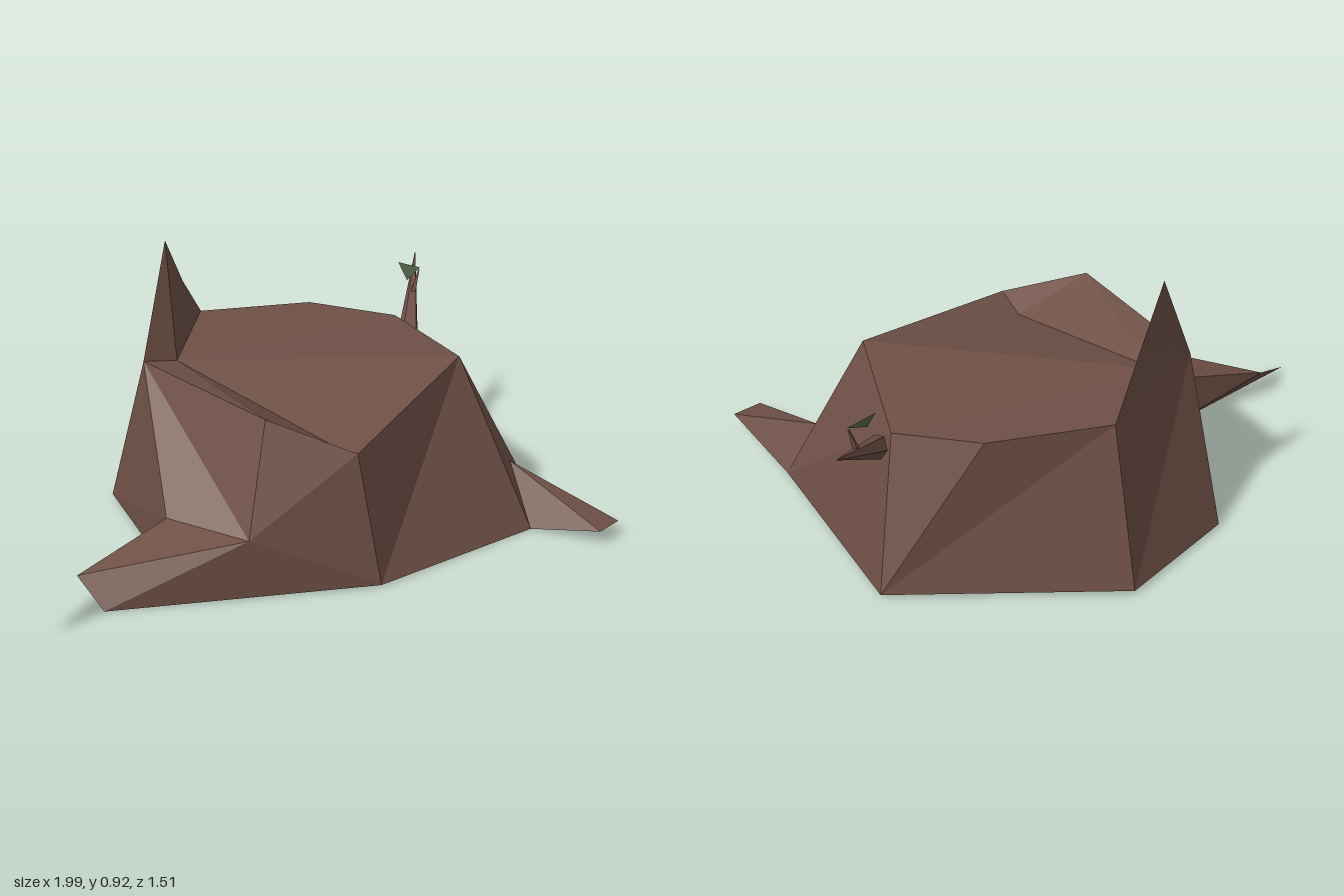
import * as THREE from 'three';

// Named corner points shared by the stump, splinter and roots
const V = {
  // rim
  backLeft: [-0.27, 0.56, -0.42], frontLeft: [-0.27, 0.55, 0.185], front: [-0.065, 0.44, 0.39],
  frontRight: [0.56, 0.545, 0.215], right: [0.715, 0.515, -0.25], backRight: [0.525, 0.545, -0.485],
  back: [0.155, 0.565, -0.635],
  // sunken cut surface
  dip: [-0.05, 0.42, 0.26], cut: [-0.145, 0.535, -0.4],
  // ground outline
  g0: [-0.48, 0, -0.05], g1: [-0.27, 0.01, -0.61], g2: [0.155, 0.015, -0.76], g3: [0.83, 0.01, -0.355],
  g4: [0.775, 0.005, 0.39], g5: [0.615, 0, 0.515], g6: [-0.04, 0.005, 0.48], g7: [-0.8, 0, 0.025],
  // side root
  kneeFront: [-0.405, 0.2, 0.26], kneeBack: [-0.48, 0.19, -0.055],
  sideTop: [-0.83, 0.1, -0.07], sideTip: [-0.995, 0.015, 0.025],
  // front root
  rootTop: [0.67, 0.18, 0.36], tipA: [0.695, 0.05, 0.75], tipB: [0.8, 0.05, 0.735],
  // splinter
  peak: [-0.105, 0.92, -0.5], shoulder: [0, 0.74, -0.54],
};

const bark = new THREE.MeshStandardMaterial({ color: 0x6f5046 });
bark.name = 'bark brown';
bark.flatShading = true;
const green = new THREE.MeshStandardMaterial({ color: 0x587050, side: THREE.DoubleSide });
green.name = 'leaf green';

// Faceted part from polygons of named points, each turned away from an inner point
function facets(name, inner, polygons) {
  const c = new THREE.Vector3(...inner);
  const out = [];
  for (const polygon of polygons) {
    const p = polygon.split(' ').map((k) => new THREE.Vector3(...V[k]));
    for (let i = 1; i < p.length - 1; i++) {
      const tri = new THREE.Triangle(p[0], p[i], p[i + 1]);
      const n = tri.getNormal(new THREE.Vector3());
      const outward = n.dot(p[0].clone().sub(c)) > 0;
      const order = outward ? [p[0], p[i], p[i + 1]] : [p[0], p[i + 1], p[i]];
      order.forEach((v) => out.push(v.x, v.y, v.z));
    }
  }
  const geo = new THREE.BufferGeometry();
  geo.setAttribute('position', new THREE.Float32BufferAttribute(out, 3));
  geo.computeVertexNormals();
  const mesh = new THREE.Mesh(geo, bark);
  mesh.name = name;
  return mesh;
}

// Tapered stick between two points
function stick(name, from, to, r0, r1, sides) {
  const a = new THREE.Vector3(...from), b = new THREE.Vector3(...to);
  const dir = b.clone().sub(a);
  const mesh = new THREE.Mesh(new THREE.CylinderGeometry(r1, r0, dir.length(), sides), bark);
  mesh.position.copy(a).add(b).multiplyScalar(0.5);
  mesh.quaternion.setFromUnitVectors(new THREE.Vector3(0, 1, 0), dir.normalize());
  mesh.name = name;
  return mesh;
}

export function createModel() {
  const model = new THREE.Group();
  model.name = 'treeStump';

  // Trunk walls, cut top and underside
  model.add(facets('trunk', [0.1, 0.2, 0], [
    'backLeft frontLeft kneeFront kneeBack', 'kneeBack g0 g1 backLeft',
    'backLeft g1 g2 back', 'back g2 g3 backRight', 'backRight g3 right',
    'right g3 g4', 'right g4 frontRight', 'frontRight g4 rootTop', 'frontRight rootTop g5',
    'frontRight g5 g6 front', 'front g6 kneeFront', 'frontLeft front kneeFront', 'kneeFront g7 g6',
    'cut dip frontRight', 'cut frontRight right', 'cut right backRight', 'cut backRight back',
    'frontLeft front dip', 'front frontRight dip', 'frontLeft dip cut', 'frontLeft cut backLeft',
    'g0 g1 g2 g3 g4 g5 g6 g7',
  ]));

  // Splinter standing on the back rim
  model.add(facets('splinter', [-0.08, 0.6, -0.475], [
    'backLeft cut peak', 'cut shoulder peak', 'cut back shoulder',
    'backLeft peak shoulder', 'backLeft shoulder back',
  ]));

  // Roots
  model.add(facets('sideRoot', [-0.62, 0.06, 0.02], [
    'kneeFront sideTop g7', 'sideTop g7 sideTip', 'kneeBack sideTop kneeFront',
    'kneeBack sideTop g0', 'sideTop sideTip g0', 'sideTip g7 g0',
  ]));
  model.add(facets('frontRoot', [0.7, 0.06, 0.48], [
    'rootTop g5 tipA', 'rootTop tipA tipB', 'rootTop tipB g4', 'g5 tipA tipB g4',
  ]));

  // Branch with a twig and leaf
  model.add(stick('branch', [0.715, 0.43, -0.185], [0.993, 0.63, -0.436], 0.042, 0.001, 5));
  model.add(stick('twig', [0.865, 0.54, -0.315], [0.888, 0.625, -0.31], 0.012, 0.003, 4));
  const leafGeo = new THREE.BufferGeometry();
  leafGeo.setAttribute('position', new THREE.Float32BufferAttribute(
    [0.805, 0.668, -0.33, 0.82, 0.605, -0.3, 0.893, 0.632, -0.31], 3));
  leafGeo.computeVertexNormals();
  const leaf = new THREE.Mesh(leafGeo, green);
  leaf.name = 'leaf';
  model.add(leaf);

  return model;
}
